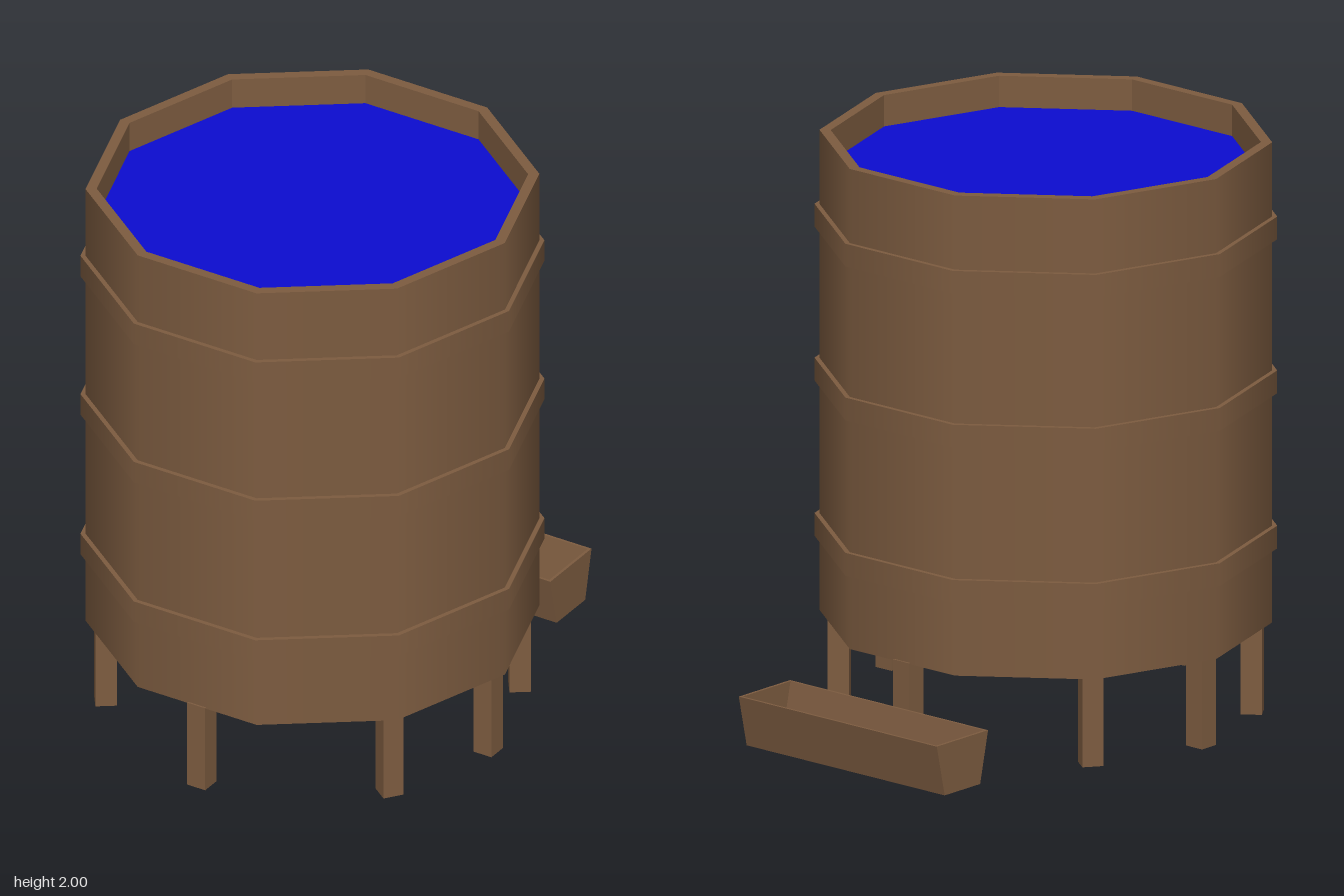
import * as THREE from 'three';
import { mergeGeometries } from 'three/addons/utils/BufferGeometryUtils.js';

const SIDES = 10;
const wood = new THREE.MeshStandardMaterial({ color: 0x7d5c40 });
const woodInside = new THREE.MeshStandardMaterial({ color: 0x7d5c40, flatShading: true, side: THREE.BackSide });
const water = new THREE.MeshStandardMaterial({ color: 0x0c0cd0 });

// Open ten-sided wall with corners on the x axis
function wall(radius, y0, y1) {
  return new THREE.CylinderGeometry(radius, radius, y1 - y0, SIDES, 1, true)
    .rotateY(Math.PI / SIDES)
    .translate(0, (y0 + y1) / 2, 0);
}

// Flat ten-sided ring facing up (dir 1) or down (dir -1)
function ring(inner, outer, y, dir) {
  return new THREE.RingGeometry(inner, outer, SIDES, 1)
    .rotateX(-dir * Math.PI / 2)
    .translate(0, y, 0);
}

function disc(radius, y, dir) {
  return new THREE.CircleGeometry(radius, SIDES)
    .rotateX(-dir * Math.PI / 2)
    .translate(0, y, 0);
}

function add(parent, name, geometry, material = wood) {
  const mesh = new THREE.Mesh(geometry, material);
  mesh.name = name;
  parent.add(mesh);
  return mesh;
}

export function createModel() {
  const model = new THREE.Group();
  model.name = 'waterTankAndTrough';

  const tank = new THREE.Group();
  tank.name = 'tank';
  tank.position.z = 0.155;
  model.add(tank);

  // Barrel: outer wall, rim, floor, inner wall and water
  const R = 0.765, inner = 0.727, base = 0.315, top = 2, waterY = 1.89;
  add(tank, 'barrel', mergeGeometries([
    wall(R, base, top), ring(inner, R, top, 1), disc(R, base, -1),
  ]));
  add(tank, 'innerWall', wall(inner, waterY - 0.02, top), woodInside);
  add(tank, 'water', disc(inner, waterY, 1), water);

  // Hoops around the barrel
  for (const y of [0.575, 1.12, 1.66]) {
    const h = 0.08, r = 0.782;
    add(tank, 'hoop', mergeGeometries([
      wall(r, y, y + h), ring(R - 0.01, r, y + h, 1), ring(R - 0.01, r, y, -1),
    ]));
  }

  // Eight legs turned to face outward
  for (const degrees of [0, 36, 90, 144, 180, 216, 270, 324]) {
    const a = THREE.MathUtils.degToRad(degrees);
    const leg = add(tank, 'leg', new THREE.BoxGeometry(0.072, 0.32, 0.072));
    leg.position.set(0.698 * Math.cos(a), 0.16, 0.698 * Math.sin(a));
    leg.rotation.y = -a;
  }

  // Trough: thin tapered channel with closed ends
  const trough = new THREE.Group();
  trough.name = 'trough';
  trough.position.z = -0.77;
  model.add(trough);
  const length = 0.89, endThick = 0.01;
  const outer = [[-0.13, 0.18], [-0.09, 0], [0.09, 0], [0.13, 0.18]];
  const hollow = [[0.121, 0.18], [0.083, 0.01], [-0.083, 0.01], [-0.121, 0.18]];
  const toShape = (pts) => new THREE.Shape(pts.map(([x, y]) => new THREE.Vector2(x, y)));
  const extrude = (pts, depth, x) => new THREE.ExtrudeGeometry(toShape(pts), { depth, bevelEnabled: false })
    .translate(0, 0, -depth / 2)
    .rotateY(Math.PI / 2)
    .translate(x, 0, 0);
  add(trough, 'troughChannel', extrude([...outer, ...hollow], length - 2 * endThick, 0));
  for (const s of [-1, 1]) {
    add(trough, 'troughEnd', extrude(outer, endThick, s * (length - endThick) / 2));
  }

  return model;
}
